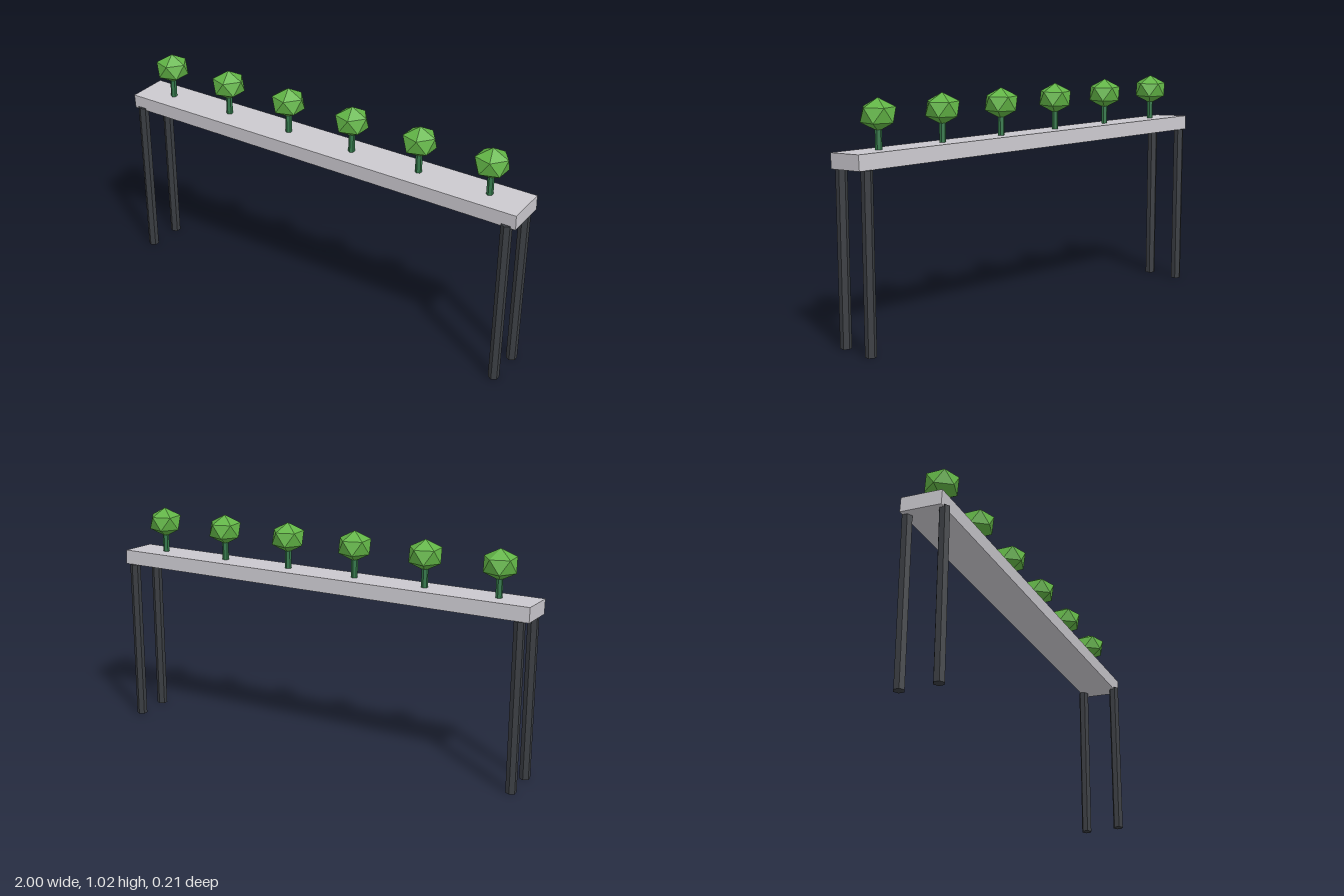
import * as THREE from 'three';

const material = (color) => new THREE.MeshStandardMaterial({ color, flatShading: true });

export function createModel() {
  const model = new THREE.Group();
  const legMaterial = material(0x3a3d42);
  const beamMaterial = material(0xcac8ce);
  const trunkMaterial = material(0x357a4c);
  const crownMaterial = material(0x62b546);

  function add(parent, name, geometry, mat, x, y, z) {
    const mesh = new THREE.Mesh(geometry, mat);
    mesh.name = name;
    mesh.position.set(x, y, z);
    parent.add(mesh);
    return mesh;
  }

  // Long deck, tipped slightly towards the front
  const deck = add(model, 'deck', new THREE.BoxGeometry(2, 0.065, 0.184), beamMaterial, 0, 0.777, 0);
  deck.rotation.x = 0.05;

  // Four hexagonal legs
  const legGeometry = new THREE.CylinderGeometry(0.024, 0.024, 0.75, 6);
  for (const x of [-0.957, 0.957]) {
    for (const z of [-0.083, 0.083]) {
      add(model, (z > 0 ? 'front' : 'back') + (x > 0 ? 'Left' : 'Right') + 'Leg',
        legGeometry, legMaterial, x, 0.375, z);
    }
  }

  // Row of trees: crown is a squashed icosahedron standing on one corner
  const trunkGeometry = new THREE.CylinderGeometry(0.0145, 0.0145, 0.12, 6);
  const crownGeometry = new THREE.IcosahedronGeometry(0.08, 0);
  crownGeometry.rotateZ(Math.atan(2 / (1 + Math.sqrt(5))));
  crownGeometry.rotateY(Math.PI);
  crownGeometry.scale(1, 0.85, 1);
  for (let i = 0; i < 6; i++) {
    const tree = new THREE.Group();
    tree.name = 'tree' + (i + 1);
    tree.position.set((i - 2.5) / 3, 0, 0);
    add(tree, 'trunk', trunkGeometry, trunkMaterial, 0, 0.85, 0);
    add(tree, 'crown', crownGeometry, crownMaterial, 0, 0.95, 0);
    model.add(tree);
  }

  return model;
}
